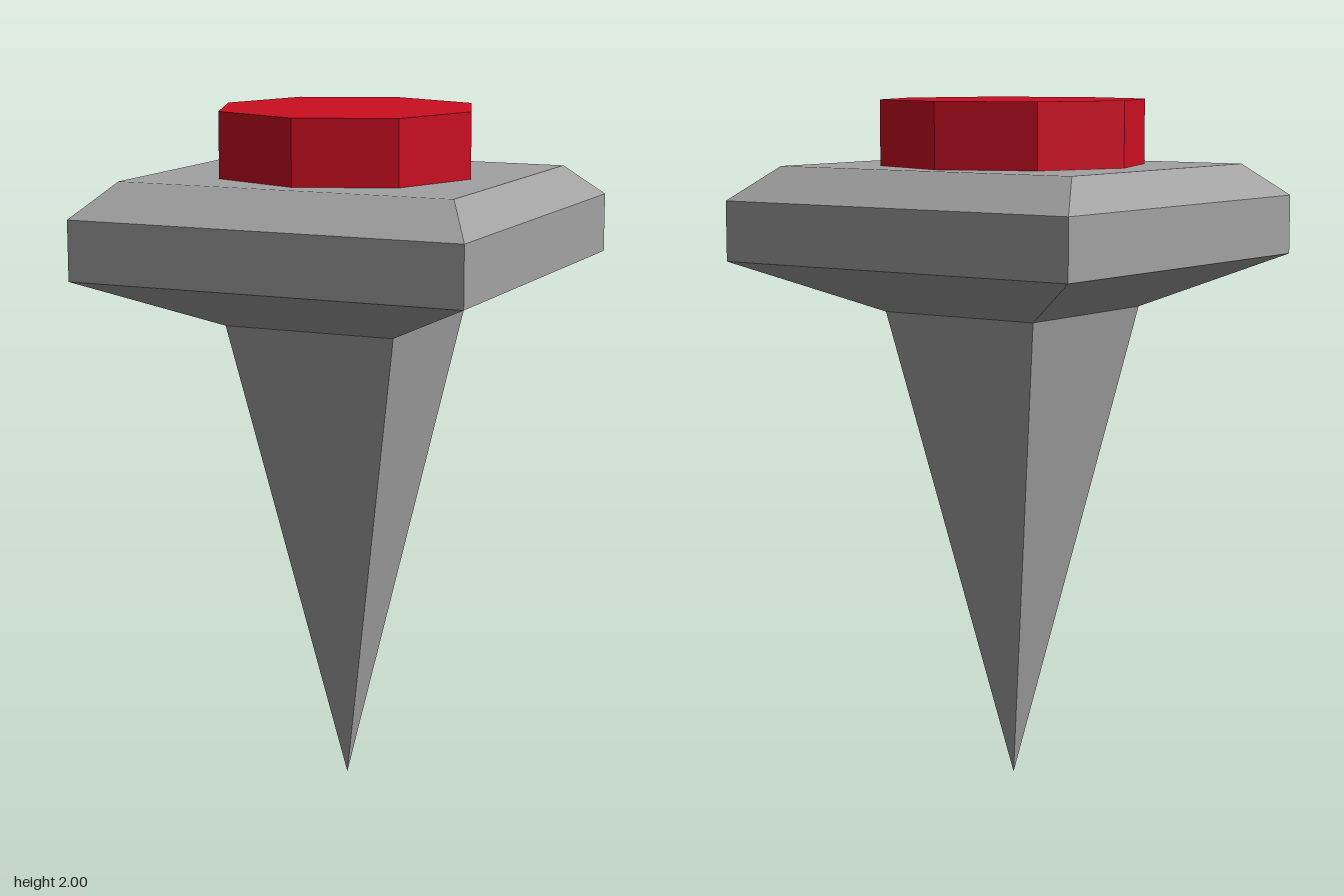
import * as THREE from 'three';

// Flat-faced solid through stacked rings of [x, y, z] points,
// each ring running anticlockwise seen from above.
function loft(rings, capBottom, capTop) {
  const pos = [];
  const tri = (a, b, c) => pos.push(...a, ...b, ...c);
  const n = rings[0].length;
  for (let r = 0; r < rings.length - 1; r++) {
    const lo = rings[r], up = rings[r + 1];
    for (let i = 0; i < n; i++) {
      const j = (i + 1) % n;
      const isPoint = lo[i].every((v, k) => v === lo[j][k]);
      if (!isPoint) tri(lo[i], lo[j], up[j]);
      tri(lo[i], up[j], up[i]);
    }
  }
  const bottom = rings[0], top = rings[rings.length - 1];
  for (let i = 1; i < n - 1; i++) {
    if (capBottom) tri(bottom[0], bottom[i + 1], bottom[i]);
    if (capTop) tri(top[0], top[i], top[i + 1]);
  }
  const geometry = new THREE.BufferGeometry();
  geometry.setAttribute('position', new THREE.Float32BufferAttribute(pos, 3));
  geometry.computeVertexNormals();
  return geometry;
}

// Rectangular ring with half-widths x and z at height y
const rectRing = (y, x, z) => [[x, y, z], [x, y, -z], [-x, y, -z], [-x, y, z]];

// Eight-sided ring: axis corners at radius r, diagonal corners at (d, d)
function octagonRing(y, r, d) {
  const ring = [];
  for (let i = 0; i < 8; i++) {
    const a = (i * Math.PI) / 4;
    const s = i % 2 ? d * Math.SQRT2 : r;
    ring.push([Math.cos(a) * s, y, -Math.sin(a) * s]);
  }
  return ring;
}

export function createModel() {
  const group = new THREE.Group();
  group.name = 'buttonSpike';

  const grey = new THREE.MeshStandardMaterial({ color: 0xa2a2a2 });
  grey.name = 'grey metal';
  const red = new THREE.MeshStandardMaterial({ color: 0xcc0e22 });
  red.name = 'red button';

  const add = (name, geometry, material) => {
    const mesh = new THREE.Mesh(geometry, material);
    mesh.name = name;
    group.add(mesh);
  };

  // Four-sided spike, tip on the ground
  add('spike', loft([rectRing(0, 0, 0), rectRing(1.395, 0.258, 0.272)], false, false), grey);

  // Square plate with a bevelled top and a tapered underside
  add('plate', loft([
    rectRing(1.395, 0.258, 0.272),
    rectRing(1.545, 0.585, 0.585),
    rectRing(1.717, 0.585, 0.585),
    rectRing(1.812, 0.5, 0.443),
  ], false, true), grey);

  // Octagonal push button
  add('button', loft([octagonRing(1.812, 0.378, 0.273), octagonRing(2, 0.378, 0.273)], false, true), red);

  return group;
}
